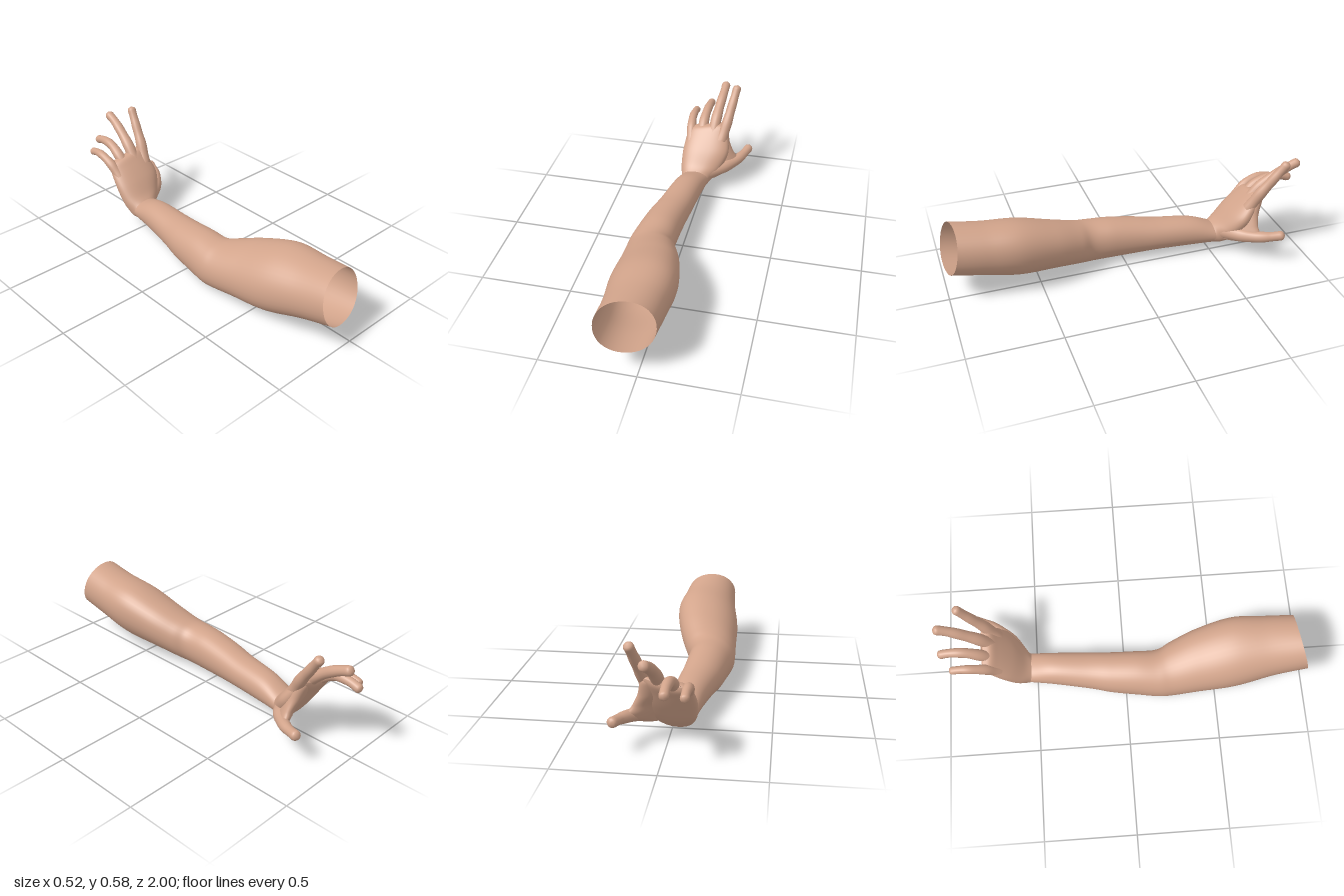
import * as THREE from 'three';
import { mergeVertices } from 'three/addons/utils/BufferGeometryUtils.js';

const skin = new THREE.MeshStandardMaterial({ color: 0xd2a48b, side: THREE.DoubleSide });
skin.name = 'skin';

function addPart(parent, name, geometry) {
  const mesh = new THREE.Mesh(geometry, skin);
  mesh.name = name;
  parent.add(mesh);
}

// Smooth skin over rounded sections: [x, y, z, half width, half depth, tilt, width slope in y, in z]
function loft(rows, power = 2, sides = 40, steps = 8) {
  const spline = (f) => new THREE.CatmullRomCurve3(rows.map(f), false, 'catmullrom', 0.5);
  const centre = spline(([x, y, z]) => new THREE.Vector3(x, y, z));
  const wide = spline(([, , , w, , , sy, sz]) => new THREE.Vector3(w, w * sy, w * sz));
  const deep = spline(([, , , , d, t]) => new THREE.Vector3(0, d * Math.cos(t), d * Math.sin(t)));
  const rings = (rows.length - 1) * steps;
  const positions = [], index = [];
  const round = (s) => Math.sign(s) * Math.abs(s) ** (2 / power);
  for (let i = 0; i <= rings; i++) {
    const t = i / rings;
    const c = centre.getPoint(t), u = wide.getPoint(t), v = deep.getPoint(t);
    for (let j = 0; j < sides; j++) {
      const a = (j / sides) * Math.PI * 2;
      const p = c.clone().addScaledVector(u, round(Math.cos(a))).addScaledVector(v, round(Math.sin(a)));
      positions.push(p.x, p.y, p.z);
      if (i < rings) {
        const k = (j + 1) % sides, r = i * sides, s = r + sides;
        index.push(r + j, s + j, r + k, r + k, s + j, s + k);
      }
    }
  }
  const g = new THREE.BufferGeometry();
  g.setAttribute('position', new THREE.Float32BufferAttribute(positions, 3));
  g.setIndex(index);
  g.computeVertexNormals();
  return g;
}

// Tapered tube with soft joints and a rounded tip
function finger(points, r0, r1) {
  const curve = new THREE.CatmullRomCurve3(points.map((p) => new THREE.Vector3(...p)));
  const rings = 48, sides = 16;
  const g = new THREE.TubeGeometry(curve, rings, 1, sides);
  const pos = g.attributes.position, p = new THREE.Vector3();
  const tip = 1 - r1 / curve.getLength();
  for (let i = 0; i <= rings; i++) {
    const t = i / rings, c = curve.getPointAt(t);
    const joint = 1 + 0.03 * Math.cos(t * Math.PI * 6);
    const cap = t > tip ? Math.sqrt(Math.max(0, 1 - ((t - tip) / (1 - tip)) ** 2)) : 1;
    const r = THREE.MathUtils.lerp(r0, r1, Math.min(1, t * 1.3)) * joint * cap;
    for (let j = 0; j <= sides; j++) {
      const k = i * (sides + 1) + j;
      p.fromBufferAttribute(pos, k).sub(c).multiplyScalar(r).add(c);
      pos.setXYZ(k, p.x, p.y, p.z);
    }
  }
  g.deleteAttribute('normal');
  g.deleteAttribute('uv');
  const smooth = mergeVertices(g, 1e-5);
  smooth.computeVertexNormals();
  return smooth;
}

export function createModel() {
  const model = new THREE.Group();
  model.name = 'arm';

  // Upper arm, elbow and forearm, open at the shoulder end
  addPart(model, 'armSleeve', loft([
    [-0.06, 0.283, 0.965, 0.149, 0.138, -0.22, 0, -0.14],
    [-0.06, 0.252, 0.8, 0.16, 0.146, -0.15, 0.1, -0.07],
    [-0.07, 0.215, 0.6, 0.18, 0.162, -0.08, 0.2, 0],
    [-0.092, 0.175, 0.4, 0.164, 0.142, 0, 0.22, 0],
    [-0.118, 0.14, 0.26, 0.143, 0.127, 0, 0.18, 0],
    [-0.134, 0.126, 0.18, 0.126, 0.123, 0, 0.12, 0],
    [-0.125, 0.126, 0.06, 0.117, 0.119, 0, 0.1, 0],
    [-0.11, 0.122, -0.08, 0.109, 0.106, 0, 0.08, 0],
    [-0.09, 0.12, -0.2, 0.1, 0.092, 0, 0.05, 0],
    [-0.062, 0.115, -0.4, 0.088, 0.08, 0, 0, 0],
    [-0.042, 0.096, -0.54, 0.082, 0.056, 0.15, 0, 0],
  ], 2.1));

  const hand = new THREE.Group();
  hand.name = 'hand';
  model.add(hand);

  // Palm bent back from the wrist, closing between the finger roots
  addPart(hand, 'palm', loft([
    [-0.042, 0.094, -0.515, 0.078, 0.05, 0.2, 0, 0],
    [-0.04, 0.097, -0.545, 0.087, 0.061, 0.4, 0, 0],
    [-0.022, 0.138, -0.595, 0.118, 0.06, 0.75, 0, 0],
    [-0.003, 0.22, -0.655, 0.14, 0.055, 0.95, 0.06, 0],
    [-0.006, 0.296, -0.712, 0.129, 0.044, 0.95, 0.15, 0],
    [-0.006, 0.338, -0.745, 0.12, 0.035, 0.95, 0.2, 0],
    [-0.006, 0.353, -0.763, 0.1, 0.014, 0.95, 0.2, 0],
    [-0.006, 0.355, -0.766, 0.08, 0.001, 0.95, 0.2, 0],
  ], 2.3));

  // Thumb muscle and the web up to the first finger, in level sections
  const level = Math.PI / 2;
  addPart(hand, 'thumbWeb', loft([
    [0.07, 0.088, -0.602, 0.02, 0.006, level, 0.2, -0.8],
    [0.075, 0.096, -0.606, 0.06, 0.03, level, 0.2, -0.8],
    [0.088, 0.125, -0.625, 0.088, 0.044, level, 0.15, -0.8],
    [0.09, 0.165, -0.65, 0.096, 0.044, level, 0.05, -0.65],
    [0.085, 0.21, -0.672, 0.077, 0.04, level, 0, -0.45],
    [0.08, 0.27, -0.705, 0.055, 0.04, level, 0, -0.15],
    [0.085, 0.34, -0.735, 0.035, 0.032, level, 0, 0],
    [0.092, 0.37, -0.745, 0.015, 0.015, level, 0, 0],
  ]));

  addPart(hand, 'thumb', finger([
    [0.02, 0.125, -0.58], [0.09, 0.138, -0.618], [0.155, 0.147, -0.677],
    [0.203, 0.157, -0.745], [0.244, 0.172, -0.848],
  ], 0.047, 0.027));
  addPart(hand, 'indexFinger', finger([
    [0.085, 0.29, -0.69], [0.108, 0.385, -0.742], [0.126, 0.475, -0.805], [0.146, 0.578, -0.878],
  ], 0.035, 0.025));
  addPart(hand, 'middleFinger', finger([
    [0.03, 0.3, -0.705], [0.036, 0.38, -0.765], [0.047, 0.455, -0.86],
    [0.055, 0.495, -0.93], [0.058, 0.523, -0.998],
  ], 0.036, 0.026));
  addPart(hand, 'ringFinger', finger([
    [-0.035, 0.28, -0.7], [-0.04, 0.352, -0.77], [-0.035, 0.393, -0.85],
    [-0.031, 0.395, -0.93], [-0.03, 0.375, -1.0],
  ], 0.034, 0.024));
  addPart(hand, 'littleFinger', finger([
    [-0.1, 0.26, -0.69], [-0.112, 0.323, -0.75], [-0.118, 0.357, -0.82],
    [-0.116, 0.36, -0.88], [-0.114, 0.345, -0.943],
  ], 0.031, 0.022));

  return model;
}
